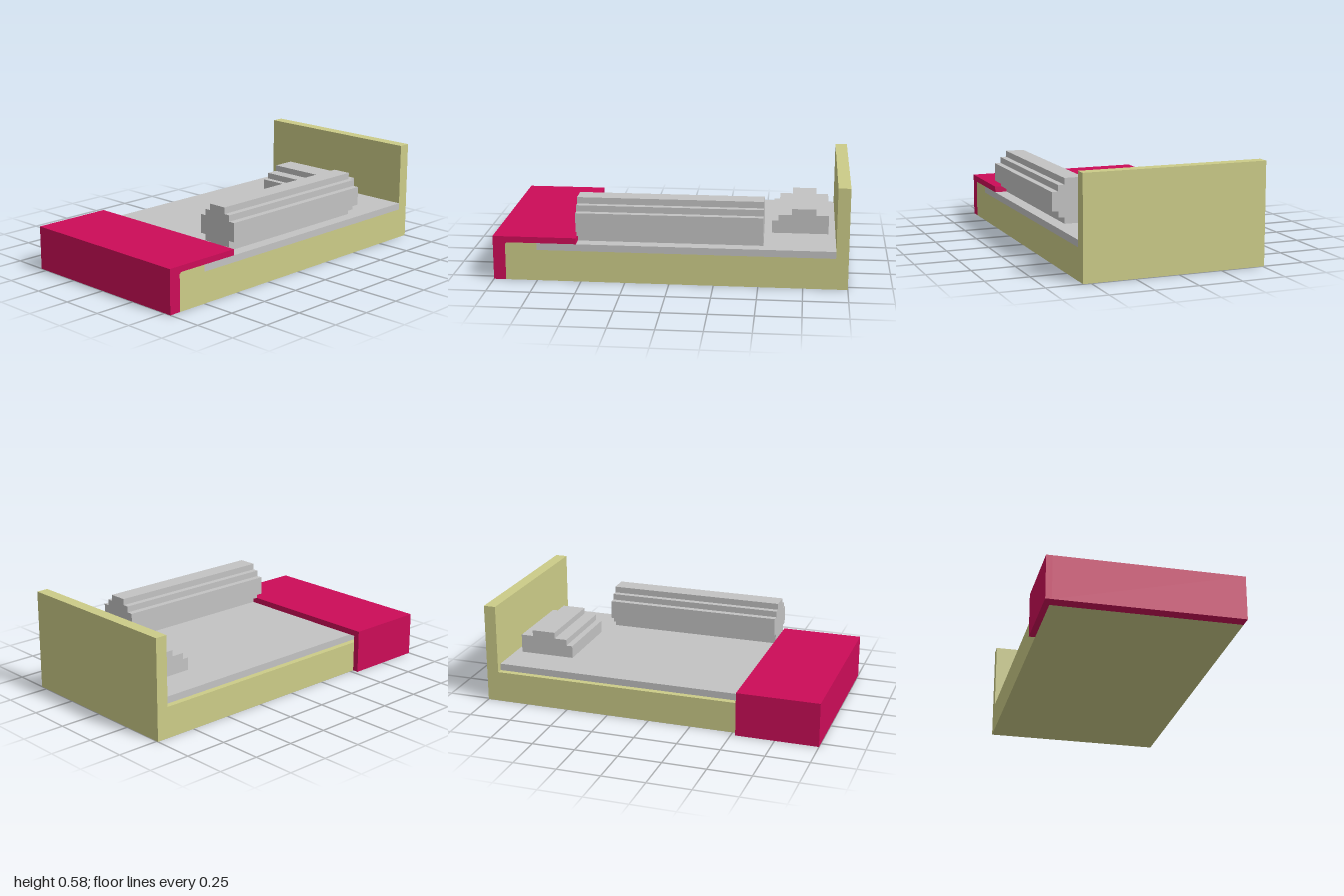
import * as THREE from 'three';

export function createModel() {
  const model = new THREE.Group();
  const mat = (name, color) => {
    const m = new THREE.MeshStandardMaterial({ color });
    m.name = name;
    return m;
  };
  const wood = mat('paleWood', 0xcccc88);
  const linen = mat('greyLinen', 0xc3c3c3);
  const red = mat('crimsonBlanket', 0xcc0c58);

  const add = (name, geometry, material) => {
    const mesh = new THREE.Mesh(geometry, material);
    mesh.name = name;
    model.add(mesh);
  };
  // Box given by its limits on each axis
  const box = (name, material, x0, x1, y0, y1, z0, z1) => {
    const g = new THREE.BoxGeometry(x1 - x0, y1 - y0, z1 - z0);
    g.translate((x0 + x1) / 2, (y0 + y1) / 2, (z0 + z1) / 2);
    add(name, g, material);
  };
  const extrude = (points, depth) => new THREE.ExtrudeGeometry(
    new THREE.Shape(points.map(([a, b]) => new THREE.Vector2(a, b))),
    { depth, bevelEnabled: false });
  // Side profile of [z, y] points, swept from x0 to x1
  const sweepX = (name, material, points, x0, x1) =>
    add(name, extrude(points, x1 - x0).rotateY(-Math.PI / 2).translate(x1, 0, 0), material);

  // Bed frame with tall headboard and raised foot end
  sweepX('bedFrame', wood, [
    [-1, 0], [0.93, 0], [0.93, 0.21], [0.92, 0.22], [0.75, 0.22],
    [0.75, 0.18], [-0.93, 0.18], [-0.93, 0.583], [-1, 0.583],
  ], -0.51, 0.545);

  box('mattress', linen, -0.475, 0.545, 0.18, 0.22, -0.93, 0.75);

  // Blanket folded over the foot end, hanging down one side
  sweepX('blanket', red, [
    [1, 0], [1, 0.255], [0.525, 0.255], [0.525, 0.22],
    [0.92, 0.22], [0.93, 0.21], [0.93, 0],
  ], -0.51, 0.545);
  box('blanketSide', red, -0.545, -0.51, 0, 0.255, 0.525, 1);

  // Stepped pillow
  sweepX('pillow', linen, [
    [-0.89, 0.22], [-0.565, 0.22], [-0.565, 0.293], [-0.602, 0.293],
    [-0.602, 0.329], [-0.677, 0.329], [-0.677, 0.365], [-0.817, 0.365],
    [-0.817, 0.329], [-0.89, 0.329],
  ], -0.255, 0.217);

  // Stepped roll of bedding: half profile mirrored about its centre line
  const half = [
    [0.055, 0.22], [0.055, 0.257], [0.091, 0.257], [0.091, 0.293], [0.128, 0.293],
    [0.128, 0.402], [0.091, 0.402], [0.091, 0.438], [0.055, 0.438], [0.055, 0.475],
  ];
  const roll = [...half, ...half.map(([x, y]) => [-x, y]).reverse()];
  add('beddingRoll', extrude(roll, 1.05).translate(0.417, 0, -0.525), linen);

  return model;
}
